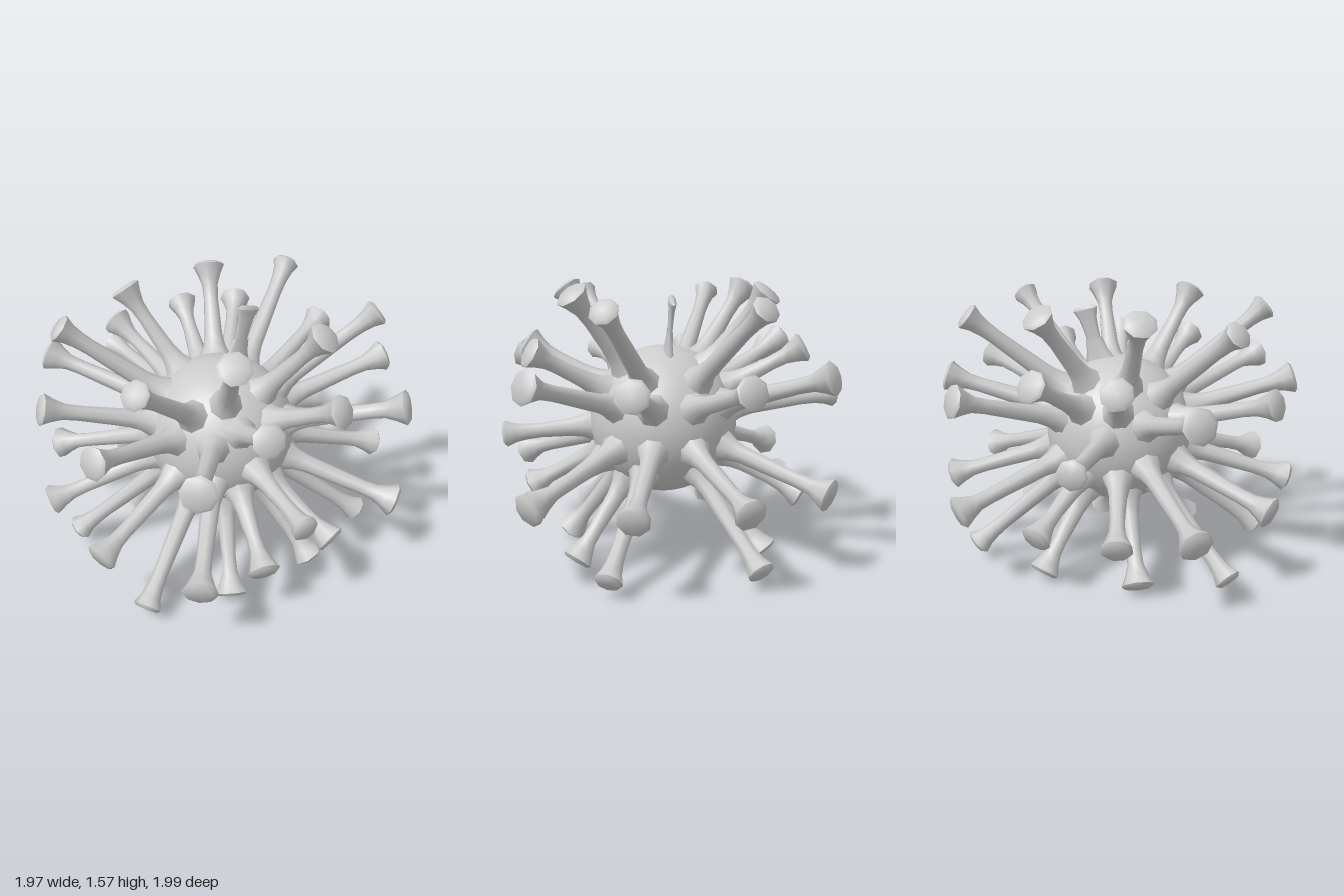
import * as THREE from 'three';
import { toCreasedNormals } from 'three/addons/utils/BufferGeometryUtils.js';

const CENTRE = new THREE.Vector3(0, 0.815, 0.073);
const RADIUS = 0.422;
const UP = new THREE.Vector3(0, 1, 0);

// Spike turned along +y: flared root, slim shaft, trumpet head with a bevelled cap.
function spikeGeometry(length, head) {
  const profile = [
    [0.13, 0.34], [0.092, 0.41], [0.065, 0.47], [0.052, 0.54],
    [0.042, length - 0.2], [0.046, length - 0.12], [head * 0.72, length - 0.06],
    [head, length - 0.005], [head * 0.8, length + 0.01], [0, length + 0.014],
  ].map(([r, y]) => new THREE.Vector2(r, y));
  return toCreasedNormals(new THREE.LatheGeometry(profile, 8), 1.0);
}

export function createModel() {
  const model = new THREE.Group();
  const material = new THREE.MeshStandardMaterial({ color: 0xcccccc, roughness: 0.7 });

  // Round core
  const core = new THREE.Mesh(new THREE.SphereGeometry(RADIUS, 48, 32), material);
  core.name = 'core';
  core.position.copy(CENTRE);
  model.add(core);

  const addSpike = (name, geometry, tip) => {
    const spike = new THREE.Mesh(geometry, material);
    spike.name = name;
    spike.position.copy(CENTRE);
    spike.quaternion.setFromUnitVectors(UP, tip.clone().normalize());
    model.add(spike);
    return spike;
  };

  // Spikes repeated in all eight octants: tip offset from the core and head radius
  const families = [
    ['sideSpike', [0.95, 0.305, 0.29], 0.09],
    ['upperSideSpike', [0.755, 0.685, 0.4], 0.078],
    ['poleSpike', [0.28, 0.735, 0.53], 0.092],
    ['diagonalSpike', [0.66, 0.315, 0.79], 0.096],
    ['innerSpike', [0.23, 0.425, 0.755], 0.09],
  ];
  for (const [name, offset, head] of families) {
    const tip = new THREE.Vector3(...offset);
    const geometry = spikeGeometry(tip.length(), head);
    for (const sx of [1, -1])
      for (const sy of [1, -1])
        for (const sz of [1, -1])
          addSpike(name, geometry, tip.clone().multiply(new THREE.Vector3(sx, sy, sz)));
  }

  // Single spikes at the front and the back
  const front = new THREE.Vector3(-0.095, -0.085, 0.905);
  addSpike('frontSpike', spikeGeometry(front.length(), 0.076), front);
  const back = new THREE.Vector3(-0.1, 0.095, -1.05);
  addSpike('backSpike', spikeGeometry(back.length(), 0.08), back);

  // Flattened spike on top
  const top = new THREE.Vector3(0.2, 0.69, -0.02);
  addSpike('topFlatSpike', spikeGeometry(top.length(), 0.075), top).scale.z = 0.3;

  return model;
}
